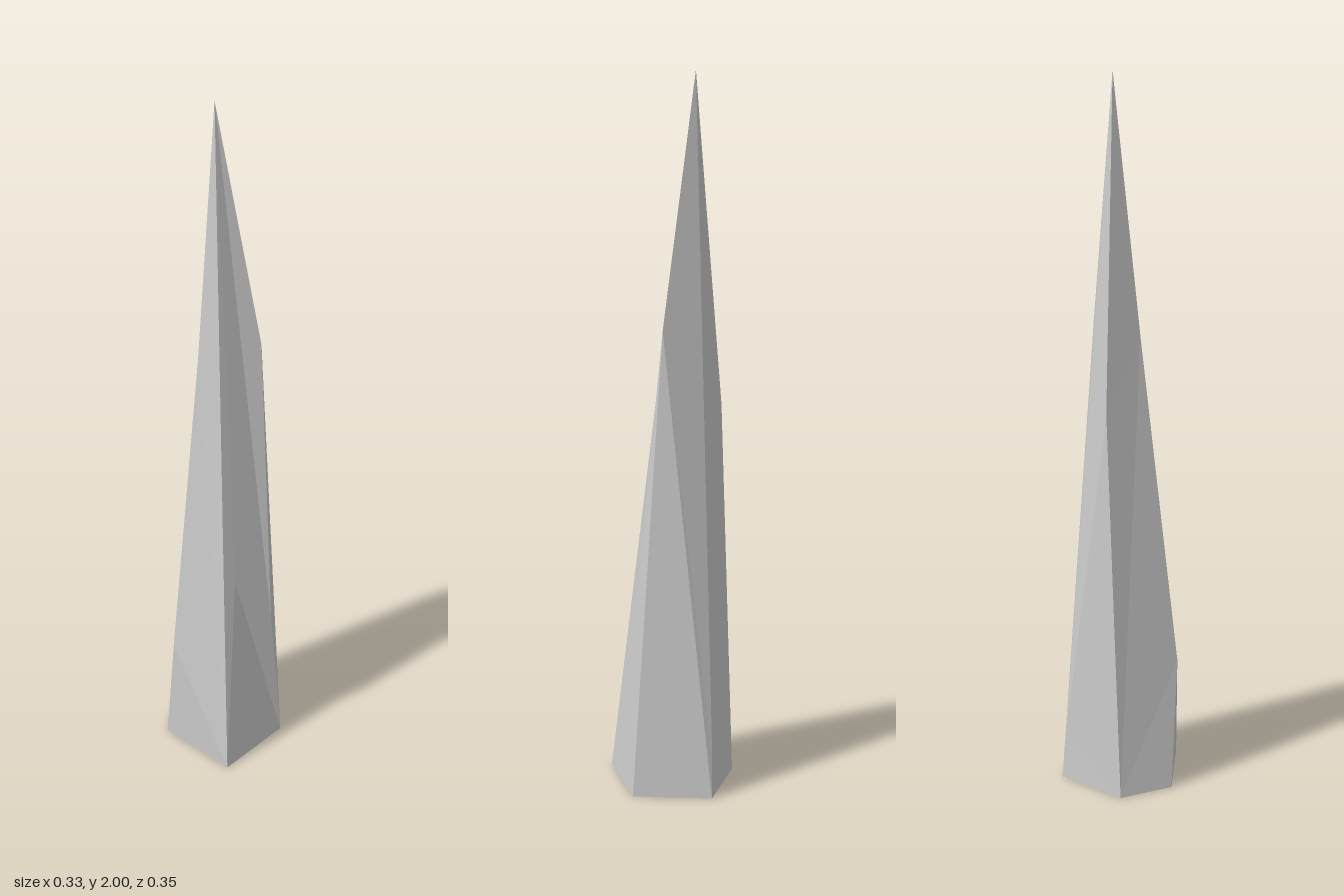
import * as THREE from 'three';

// Corners of the faceted shard: base ring, mid-height chips, tip
const corners = {
  A: [-0.045, 0, 0.175], B: [0.165, 0, 0.06], C: [0.13, 0, -0.16],
  D: [-0.085, 0, -0.177], E: [-0.167, 0, -0.04],
  P: [0.007, 0.62, 0.085], Q: [0.125, 0.45, 0.068], R: [0.113, 1.32, -0.015],
  S: [-0.022, 1.1, -0.15], T: [-0.155, 0.37, 0.005], U: [-0.058, 1.3, -0.04],
  V: [0.118, 0.14, -0.157], O: [0.003, 2, -0.08],
};

// Facets, counter-clockwise from outside
const facets = [
  'ABP PBQ PQO APO',      // front
  'QRO QBR BCR CVR RVO',  // left side
  'VSO VDS CDV',          // back
  'DET DTU DUS SUO',      // back right
  'EAT TAU UAO',          // right side
  'AED ADC ACB',          // base
].join(' ').split(' ');

export function createModel() {
  const positions = facets.flatMap((f) => [...f].flatMap((k) => corners[k]));
  const geometry = new THREE.BufferGeometry();
  geometry.setAttribute('position', new THREE.Float32BufferAttribute(positions, 3));
  geometry.computeVertexNormals();

  const shard = new THREE.Mesh(
    geometry,
    new THREE.MeshStandardMaterial({ color: 0xcccccc, flatShading: true }),
  );
  shard.name = 'spike';

  const model = new THREE.Group();
  model.name = 'rockSpike';
  model.add(shard);
  return model;
}
